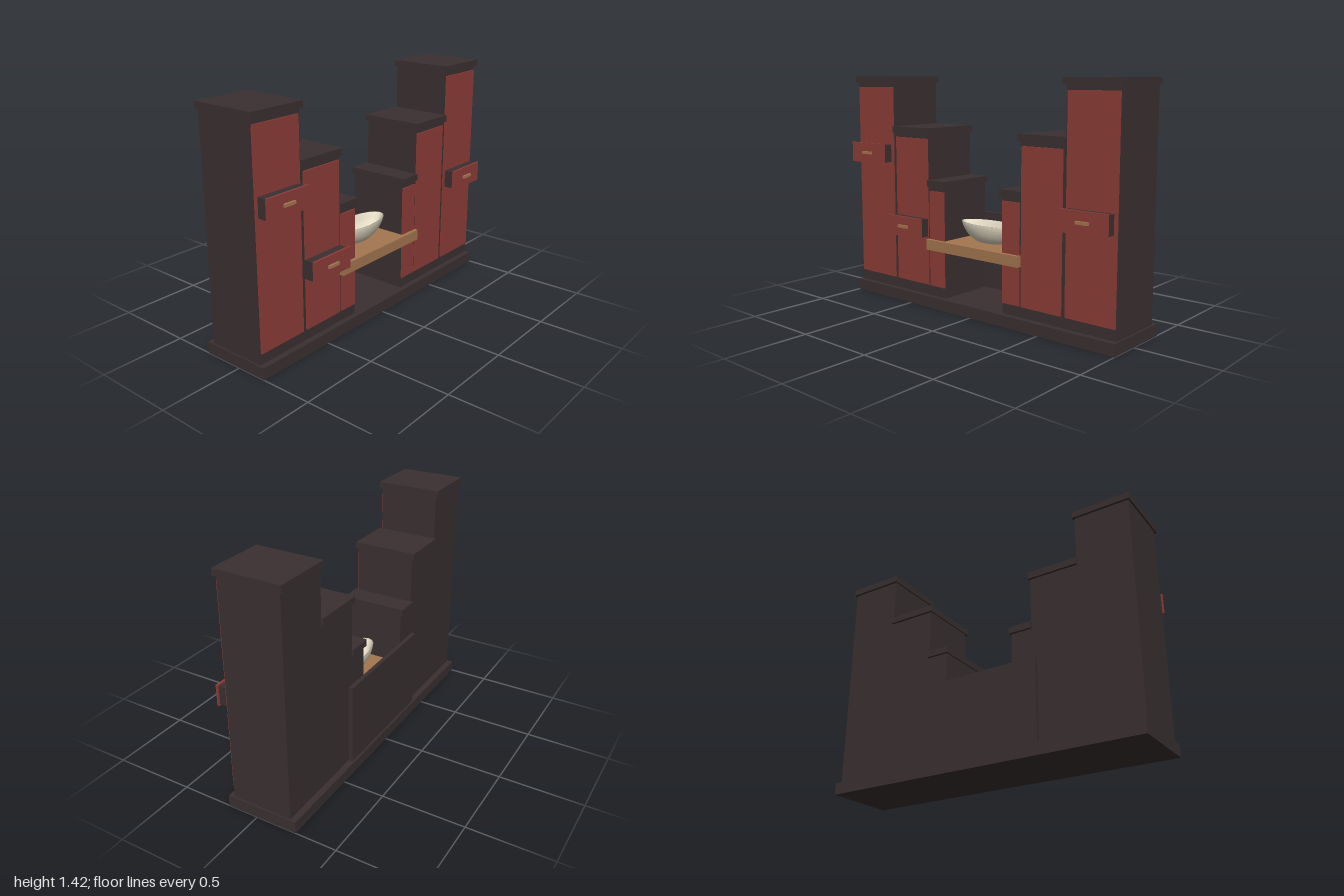
import * as THREE from 'three';

const material = (name, color) => {
  const m = new THREE.MeshStandardMaterial({ color });
  m.name = name;
  return m;
};

export function createModel() {
  const dark = material('dark wood', 0x3a3031);
  const red = material('red lacquer', 0x8e3d37);
  const wood = material('light wood', 0xa57650);
  const cream = material('cream ceramic', 0xe6ddc6);
  const model = new THREE.Group();
  model.name = 'steppedVanity';

  // Box given by its limits on each axis
  const box = (parent, name, mat, [x0, x1], [y0, y1], [z0, z1]) => {
    const mesh = new THREE.Mesh(new THREE.BoxGeometry(x1 - x0, y1 - y0, z1 - z0), mat);
    mesh.position.set((x0 + x1) / 2, (y0 + y1) / 2, (z0 + z1) / 2);
    mesh.name = name;
    parent.add(mesh);
  };

  // Plinth and rear panel
  box(model, 'plinth', dark, [-1, 1], [0, 0.07], [-0.25, 0.19]);
  box(model, 'backPanel', dark, [-0.39, 0.39], [0.07, 0.565], [-0.238, -0.213]);

  // Stepped cabinets, mirrored left and right
  const steps = [
    { name: 'tall', body: [0.655, 0.99], cap: [0.645, 1], door: [0.667, 0.983], top: 1.42 },
    { name: 'middle', body: [0.355, 0.655], cap: [0.347, 0.66], door: [0.365, 0.64], top: 1.112 },
    { name: 'low', body: [0.225, 0.355], cap: [0.217, 0.36], door: [0.23, 0.35], top: 0.795 },
  ];
  for (const side of [1, -1]) {
    const span = ([a, b]) => (side > 0 ? [a, b] : [-b, -a]);
    for (const { name, body, cap, door, top } of steps) {
      const cabinet = new THREE.Group();
      cabinet.name = `${name}Cabinet${side > 0 ? 'Left' : 'Right'}`;
      box(cabinet, 'carcass', dark, span(body), [0.07, top - 0.04], [-0.213, 0.155]);
      box(cabinet, 'cap', dark, span(cap), [top - 0.04, top], [-0.228, 0.175]);
      box(cabinet, 'door', red, span(door), [0.135, top - 0.066], [0.155, 0.164]);
      model.add(cabinet);
    }
  }

  // Pulled-out drawers
  for (const [x, y] of [[-0.827, 0.938], [-0.505, 0.498], [0.823, 0.683]]) {
    const drawer = new THREE.Group();
    drawer.name = 'drawer';
    drawer.position.set(x, y, 0);
    box(drawer, 'drawerBox', dark, [-0.14, 0.14], [-0.055, 0.055], [0.15, 0.225]);
    box(drawer, 'drawerFront', red, [-0.148, 0.148], [-0.063, 0.063], [0.225, 0.238]);
    box(drawer, 'handle', wood, [-0.04, 0.04], [-0.007, 0.01], [0.238, 0.252]);
    model.add(drawer);
  }

  // Counter running across the niche
  box(model, 'counter', wood, [-0.357, 0.357], [0.365, 0.43], [-0.18, 0.187]);

  // Oval vessel basin: outer wall, rim, inner wall and floor
  const profile = [
    [0, 0], [0.1, 0], [0.145, 0.022], [0.18, 0.05], [0.205, 0.085], [0.216, 0.115],
    [0.206, 0.115], [0.19, 0.085], [0.165, 0.055], [0.11, 0.02], [0, 0.018],
  ].map(([r, y]) => new THREE.Vector2(r, y));
  const basin = new THREE.Mesh(new THREE.LatheGeometry(profile, 20), cream);
  basin.name = 'basin';
  basin.rotation.y = 0;
  basin.scale.z = 0.44;
  basin.position.y = 0.431;
  model.add(basin);

  return model;
}
